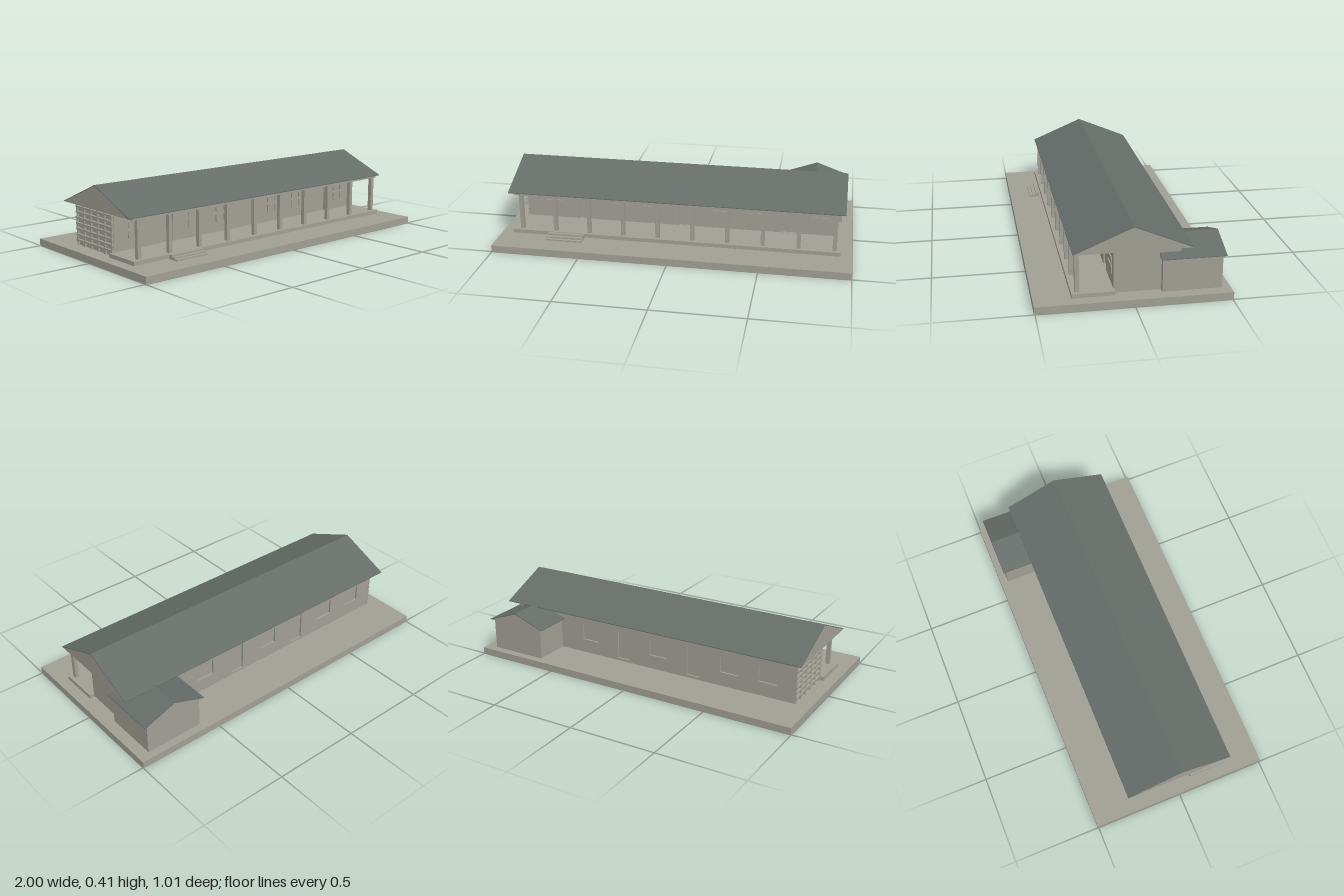
import * as THREE from 'three';

export function createModel() {
  const model = new THREE.Group();
  const wall = new THREE.MeshStandardMaterial({ color: 0xa19f95 });
  wall.name = 'stone grey';
  const slate = new THREE.MeshStandardMaterial({ color: 0x666d69 });
  slate.name = 'slate green';

  const add = (name, geo, mat, parent = model) => {
    const mesh = new THREE.Mesh(geo, mat);
    mesh.name = name;
    parent.add(mesh);
    return mesh;
  };
  // Box given by its minimum and maximum on each axis
  const box = (name, x0, x1, y0, y1, z0, z1, parent = model) => {
    const m = add(name, new THREE.BoxGeometry(x1 - x0, y1 - y0, z1 - z0), wall, parent);
    m.position.set((x0 + x1) / 2, (y0 + y1) / 2, (z0 + z1) / 2);
    return m;
  };
  const polygon = (pts, Type = THREE.Shape) => new Type(pts.map(([x, y]) => new THREE.Vector2(x, y)));
  const rect = (x0, x1, y0, y1, Type) => polygon([[x0, y0], [x1, y0], [x1, y1], [x0, y1]], Type);
  const extrude = (shape, depth) => new THREE.ExtrudeGeometry(shape, { depth, bevelEnabled: false, curveSegments: 4 });

  // Gable roof: solid core with a thin slate covering, ridge along local z
  const gableRoof = (name, half, rise, length) => {
    const g = new THREE.Group();
    g.name = name;
    const t = 0.004;
    add('gableCore', extrude(polygon([[-half, 0], [half, 0], [0, rise - t]]), length), wall, g);
    add('roofCovering', extrude(polygon([
      [-half, 0], [0, rise - t], [half, 0], [half, t], [0, rise], [-half, t],
    ]), length), slate, g);
    model.add(g);
    return g;
  };

  // Ground slab and veranda floor
  box('groundSlab', -1, 1, 0, 0.04, -0.505, 0.505);
  box('verandaFloor', -0.935, 0.935, 0.04, 0.062, 0.09, 0.312);

  // Entrance steps
  [0.048, 0.056, 0.065].forEach((top, i) =>
    box('step', -0.72, -0.51, 0.04, top, 0.325, 0.385 - i * 0.02));

  // Main hall: core with outer wall skins pierced by openings
  const L = -0.905, R = 0.905, eave = 0.28;
  box('hallCore', L, R, 0.04, eave, -0.24, 0.085);
  const skin = (name, z, openings) => {
    const shape = rect(L, R, 0.04, eave);
    openings.forEach(([x, w, y0, y1]) => shape.holes.push(rect(x - w / 2, x + w / 2, y0, y1, THREE.Path)));
    add(name, extrude(shape, 0.01), wall).position.z = z;
  };
  skin('frontWall', 0.085, [-0.56, 0.04, 0.64].map((x) => [x, 0.08, 0.063, 0.235]));
  skin('backWall', -0.25, [
    ...[0.39, -0.07, -0.52, -0.75].map((x) => [x, 0.11, 0.12, 0.215]),
    ...[0.16, -0.295].map((x) => [x, 0.08, 0.055, 0.225]),
  ]);

  // Front windows: four rounded panes each
  const pane = (w, h) => {
    const s = new THREE.Shape(), r = 0.008;
    s.absarc(w - r, r, r, -Math.PI / 2, 0);
    s.absarc(w - r, h - r, r, 0, Math.PI / 2);
    s.absarc(r, h - r, r, Math.PI / 2, Math.PI);
    s.absarc(r, r, r, Math.PI, Math.PI * 1.5);
    return extrude(s, 0.006);
  };
  const lower = pane(0.052, 0.05), upper = pane(0.052, 0.034);
  for (const x of [-0.76, -0.36, -0.16, 0.24, 0.44, 0.81]) {
    const win = new THREE.Group();
    win.name = 'frontWindow';
    for (const dx of [-0.056, 0.004]) {
      add('lowerPane', lower, wall, win).position.set(dx, 0, 0);
      add('upperPane', upper, wall, win).position.set(dx, 0.06, 0);
    }
    win.position.set(x, 0.12, 0.095);
    model.add(win);
  }

  // Lattice on the right-hand end wall
  const lattice = new THREE.Group();
  lattice.name = 'endLattice';
  model.add(lattice);
  for (let i = 0; i < 6; i++) {
    const z = -0.245 + i * 0.066;
    box('latticePost', -0.914, L, 0.04, 0.27, z - 0.006, z + 0.006, lattice);
  }
  for (let i = 0; i < 7; i++) {
    const y = 0.07 + i * 0.031;
    box('latticeRail', -0.919, L, y - 0.005, y + 0.005, -0.25, 0.095, lattice);
  }

  // Veranda columns and beam
  for (let i = 0; i < 10; i++) {
    const x = -0.885 + i * 0.1985;
    box('verandaColumn', x - 0.011, x + 0.011, 0.062, 0.27, 0.27, 0.293);
  }
  box('verandaBeam', -0.925, 0.925, 0.268, eave, 0.266, 0.297);

  // Main roof, ridge running left to right
  const mainRoof = gableRoof('mainRoof', 0.304, 0.132, 1.907);
  mainRoof.rotation.y = Math.PI / 2;
  mainRoof.position.set(-0.955, eave, 0.001);

  // Rear annex, ridge running front to back
  box('annex', 0.6, 0.935, 0.04, 0.222, -0.46, -0.15);
  gableRoof('annexRoof', 0.188, 0.071, 0.335).position.set(0.767, 0.221, -0.475);

  return model;
}
